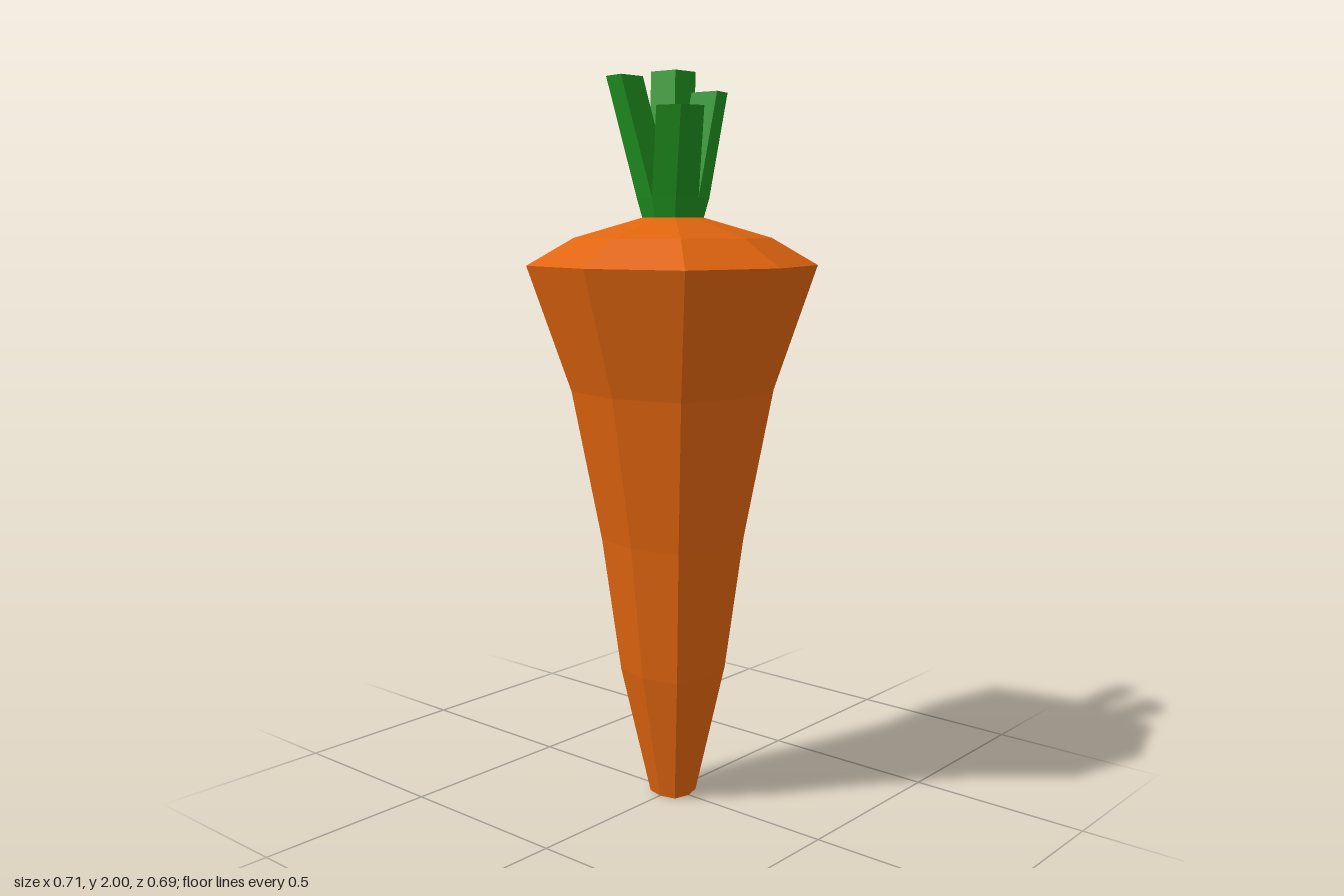
import * as THREE from 'three';

// Skin a stack of rings (each counter-clockwise seen from above) and cap both ends
function loft(rings) {
  const pos = [];
  const tri = (...pts) => pts.forEach((p) => pos.push(...p));
  const n = rings[0].length;
  for (let k = 0; k < rings.length - 1; k++) {
    for (let i = 0; i < n; i++) {
      const j = (i + 1) % n;
      const [a, b, c, d] = [rings[k][i], rings[k][j], rings[k + 1][j], rings[k + 1][i]];
      tri(a, b, c);
      tri(a, c, d);
    }
  }
  const bottom = rings[0], top = rings[rings.length - 1];
  for (let i = 1; i < n - 1; i++) {
    tri(bottom[0], bottom[i + 1], bottom[i]);
    tri(top[0], top[i], top[i + 1]);
  }
  const geo = new THREE.BufferGeometry();
  geo.setAttribute('position', new THREE.Float32BufferAttribute(pos, 3));
  geo.computeVertexNormals();
  return geo;
}

// Boxy octagon: corners pushed out beyond a regular one
function octagon(r, y) {
  const d = r * 0.777, z = r * 0.965;
  return [[r, y, 0], [d, y, -d], [0, y, -z], [-d, y, -d],
    [-r, y, 0], [-d, y, d], [0, y, z], [d, y, d]];
}

// One quarter of the octagon, shifted sideways by (dx, dz)
function quarter(r, y, sx, sz, dx = 0, dz = 0) {
  const d = r * 0.777, z = r * 0.965;
  const ring = [[0, 0], [r, 0], [d, d], [0, z]].map(([px, pz]) => [sx * px + dx, y, sz * pz + dz]);
  return sx * sz > 0 ? ring.reverse() : ring;
}

export function createModel() {
  const group = new THREE.Group();
  const orange = new THREE.MeshStandardMaterial({ color: 0xe0650f, flatShading: true });
  const green = new THREE.MeshStandardMaterial({ color: 0x1f8f1f, flatShading: true });

  // Tapering root with a shallow domed shoulder: [radius, height]
  const profile = [[0.058, 0], [0.132, 0.36], [0.178, 0.73], [0.25, 1.14],
    [0.356, 1.477], [0.241, 1.55], [0.075, 1.603]];
  const root = new THREE.Mesh(loft(profile.map(([r, y]) => octagon(r, y))), orange);
  root.name = 'root';
  group.add(root);

  // Four stalks that share a base and splay apart: [side x, side z, lean x, lean z, top y]
  const stalks = [
    [-1, -1, -0.085, -0.108, 2.0],
    [-1, 1, -0.066, 0.045, 1.97],
    [1, 1, 0.06, 0.05, 1.885],
    [1, -1, 0, -0.075, 1.932],
  ];
  stalks.forEach(([sx, sz, dx, dz, top], i) => {
    const rings = [
      quarter(0.074, 1.6, sx, sz),
      quarter(0.088, 1.655, sx, sz),
      quarter(0.088, top, sx, sz, dx, dz),
    ];
    const stalk = new THREE.Mesh(loft(rings), green);
    stalk.name = `stalk${i + 1}`;
    group.add(stalk);
  });

  return group;
}
